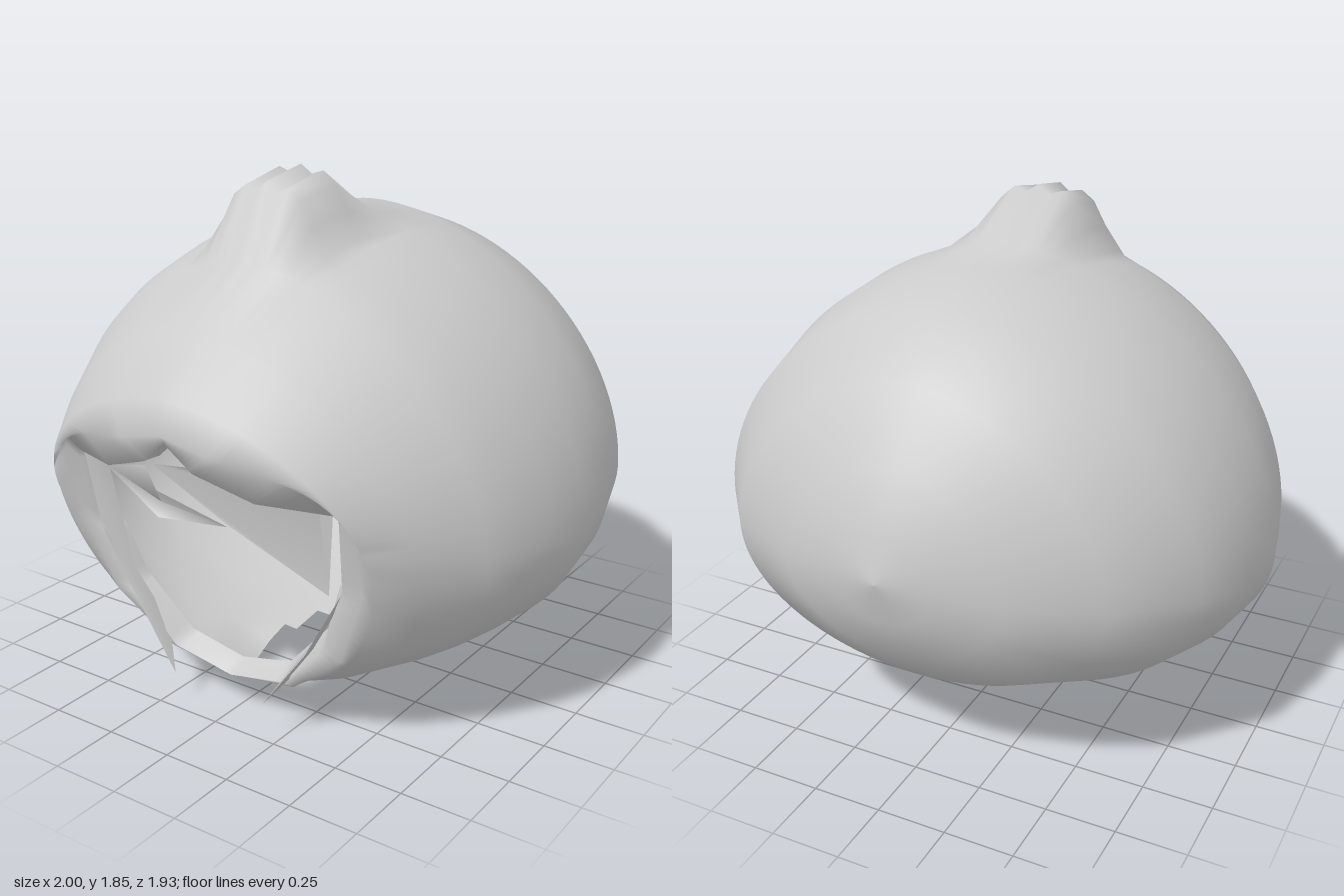
import * as THREE from 'three';

const SEG = 112, HALF = SEG / 2;
const mat = new THREE.MeshStandardMaterial({ color: 0xcccccc, side: THREE.DoubleSide });

function makeMesh(name, positions, index) {
  const geo = new THREE.BufferGeometry();
  geo.setAttribute('position', new THREE.Float32BufferAttribute(positions, 3));
  geo.setIndex(index);
  geo.computeVertexNormals();
  const mesh = new THREE.Mesh(geo, mat);
  mesh.name = name;
  return mesh;
}

// Skin a list of closed rings (arrays of [x, y, z]); skip(i, j) leaves a quad open.
function loft(name, rings, skip) {
  const index = [];
  for (let i = 0; i < rings.length - 1; i++) {
    for (let j = 0; j < SEG; j++) {
      if (skip(i, j)) continue;
      const a = i * SEG + j, b = i * SEG + (j + 1) % SEG, c = a + SEG, d = b + SEG;
      index.push(a, c, b, b, c, d);
    }
  }
  return makeMesh(name, rings.flat(2), index);
}

// Thin pointed sheet, fanned from its first corner.
function lock(name, pts) {
  return makeMesh(name, pts.flat(), pts.slice(2).flatMap((_, i) => [0, i + 1, i + 2]));
}

// Egg-shaped slice: top and bottom points in (z, y), half width, height of the widest line,
// depth of the pointed dip below and height of the tuft above.
function slice([zTop, yTop, zBot, yBot, w, yMid, dip = 0, tuft = 0]) {
  return Array.from({ length: SEG }, (_, j) => {
    const t = j / SEG * Math.PI * 2, s = Math.sin(t), c = Math.cos(t);
    const e = c > 0 ? 1.08 : 1;
    const x = w * Math.sign(s) * Math.abs(s) ** e, ax = Math.abs(x);
    const z = THREE.MathUtils.lerp(zBot, zTop, (c + 1) / 2);
    let y = yMid + Math.sign(c) * Math.abs(c) ** e * (c > 0 ? yTop - yMid : yMid - yBot);
    if (c < 0) {
      y -= dip * Math.max(0, 1 - ax / 0.26);
    } else {
      // Tuft with a small zigzag crest
      const crest = ax < 0.11 ? 0.16 * Math.abs(Math.sin(ax / 0.1 * Math.PI)) : 0;
      y += tuft * (THREE.MathUtils.clamp((0.24 - ax) / 0.13, 0, 1) - crest);
    }
    return [x, y, z];
  });
}

// Mirrored ring from a right-half outline running from top to bottom.
function outline(pts) {
  const spans = pts.length - 1;
  return Array.from({ length: SEG }, (_, j) => {
    const u = (j <= HALF ? j : SEG - j) / HALF * spans;
    const k = Math.min(Math.floor(u), spans - 1), f = u - k;
    const p = pts[k].map((v, i) => v + (pts[k + 1][i] - v) * f);
    return [j <= HALF ? p[0] : -p[0], p[1], p[2]];
  });
}

export function createModel() {
  const group = new THREE.Group();
  group.name = 'hair';

  // Round shell with the tuft drawn up from it, from the back of the head to the face
  const slices = [
    [-0.965, 0.86, -0.965, 0.86, 0, 0.86],
    [-0.93, 1.02, -0.93, 0.70, 0.18, 0.85],
    [-0.865, 1.21, -0.875, 0.55, 0.39, 0.82],
    [-0.71, 1.44, -0.73, 0.39, 0.69, 0.8],
    [-0.49, 1.60, -0.44, 0.25, 0.905, 0.76],
    [-0.23, 1.68, -0.18, 0.17, 0.975, 0.73],
    [0.01, 1.69, 0.06, 0.13, 1.0, 0.71],
    [0.22, 1.67, 0.2, 0.12, 0.965, 0.71, 0.01, 0.185],
    [0.41, 1.62, 0.3, 0.12, 0.93, 0.71, 0.05, 0.2],
    [0.53, 1.57, 0.39, 0.12, 0.88, 0.71, 0.11],
    [0.78, 1.39, 0.53, 0.12, 0.75, 0.72, 0.02],
    [0.95, 1.22, 0.61, 0.14, 0.65, 0.74],
  ].map(slice);
  // Rolled fringe, edge of the face opening and its inner fold
  const fringe = outline([[0, 1.11, 0.97], [0.2, 1.07, 0.96], [0.4, 1.02, 0.9], [0.59, 0.95, 0.8],
    [0.59, 0.64, 0.73], [0.48, 0.36, 0.69], [0.26, 0.18, 0.65], [0, 0.14, 0.64]]);
  const rim = outline([[0, 1.08, 0.95], [0.1, 1.0, 0.94], [0.3, 0.93, 0.89], [0.54, 0.91, 0.79],
    [0.52, 0.64, 0.74], [0.42, 0.39, 0.7], [0.23, 0.2, 0.67], [0, 0.15, 0.66]]);
  const fold = rim.map(([x, y, z]) => [x * 0.93, y < 0.6 ? y + 0.04 : y, z - 0.07]);
  // Small neck hole, narrower towards the back
  const neckHole = (i, j) => (i === 6 && (j === HALF - 1 || j === HALF))
    || ((i === 7 || i === 8) && j >= HALF - 2 && j <= HALF + 1);
  group.add(loft('shellWithTuft', [...slices, fringe, rim, fold], neckHole));

  // Pointed locks hugging both sides of the jaw
  for (const s of [1, -1]) {
    group.add(lock(s > 0 ? 'leftJawLock' : 'rightJawLock', [
      [0.44, 0.5, 0.68], [0.51, 0.62, 0.73], [0.36, 0.36, 0.72], [0.19, 0.13, 0.73], [0.29, 0.26, 0.64],
    ].map(([x, y, z]) => [x * s, y, z])));
  }

  // Loose locks hanging from the fringe
  group.add(lock('rightSideLock', [[-0.51, 0.91, 0.79], [-0.48, 0.65, 0.76], [-0.34, 0.38, 0.72], [-0.38, 0.7, 0.76], [-0.37, 0.91, 0.82]]));
  group.add(lock('leftSideLock', [[0.46, 0.93, 0.78], [0.47, 0.61, 0.74], [0.52, 0.91, 0.79]]));
  group.add(lock('fringeSweep', [[-0.12, 0.97, 0.88], [0.15, 0.81, 0.84], [0.47, 0.61, 0.74], [0.46, 0.93, 0.78], [0.1, 1.0, 0.89]]));
  group.add(lock('fringeLock', [[-0.35, 0.91, 0.85], [-0.1, 0.79, 0.88], [0.12, 0.78, 0.8], [-0.05, 0.87, 0.92], [-0.13, 0.97, 0.9]]));

  return group;
}
